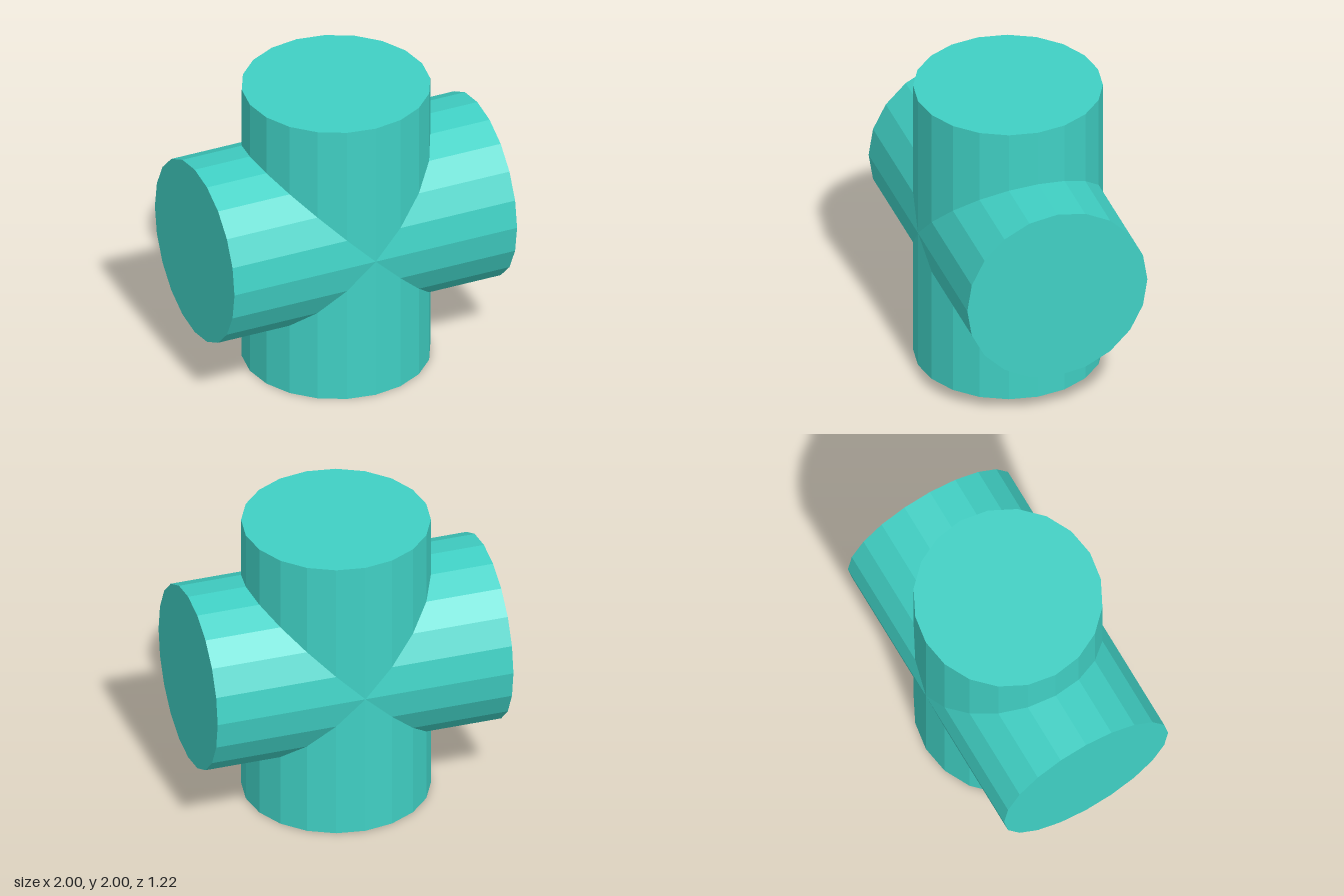
import * as THREE from 'three';
import { mergeGeometries } from 'three/addons/utils/BufferGeometryUtils.js';

const RADIUS = 0.61;
const SIDES = 20;

// One capped arm reaching 1 unit up, its inner end mitred to meet its neighbours
function armGeometry() {
  const wall = new THREE.CylinderGeometry(RADIUS, RADIUS, 1, SIDES, 1, true);
  const pos = wall.attributes.position;
  for (let i = 0; i < pos.count; i++) {
    pos.setY(i, pos.getY(i) > 0 ? 1 : Math.abs(pos.getX(i)));
  }
  const cap = new THREE.CircleGeometry(RADIUS, SIDES);
  cap.rotateX(-Math.PI / 2).translate(0, 1, 0);
  return mergeGeometries([wall, cap]);
}

export function createModel() {
  const model = new THREE.Group();
  model.name = 'pipeCross';
  const material = new THREE.MeshStandardMaterial({ color: 0x40d0c4, flatShading: true });
  const geometry = armGeometry();

  // Four arms, a quarter turn apart, around the centre of the cross
  ['topArm', 'rightArm', 'bottomArm', 'leftArm'].forEach((name, i) => {
    const arm = new THREE.Mesh(geometry, material);
    arm.name = name;
    arm.position.y = 1;
    arm.rotation.z = -i * Math.PI / 2;
    if (name === 'rightArm') arm.name = 'leftArm'; // the model's left is +x
    else if (name === 'leftArm') arm.name = 'rightArm';
    model.add(arm);
  });
  return model;
}
